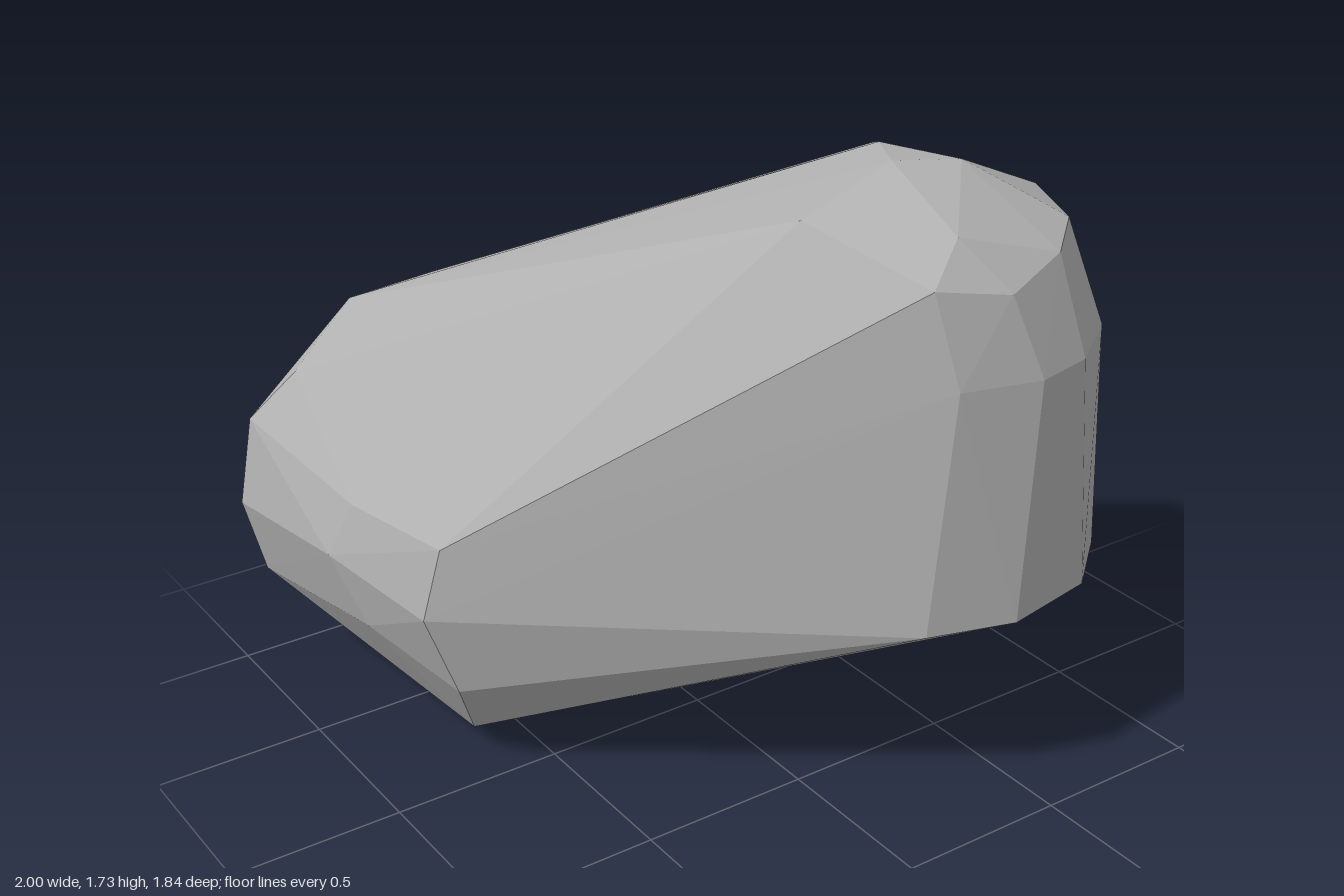
import * as THREE from 'three';
import { ConvexGeometry } from 'three/addons/geometries/ConvexGeometry.js';

// Expand [a, b] pairs into points on a level or upright plane
const level = (y, pairs) => pairs.map(([x, z]) => new THREE.Vector3(x, y, z));
const upright = (z, pairs) => pairs.map(([x, y]) => new THREE.Vector3(x, y, z));
const loose = (list) => list.map((p) => new THREE.Vector3(...p));

export function createModel() {
  const grey = new THREE.MeshStandardMaterial({ color: 0xb0b0b0, flatShading: true });
  grey.name = 'grey';

  // Flat round end at the back
  const backEnd = upright(-0.92, [
    [-0.33, 1.15], [-0.06, 1.03], [0.115, 0.77], [0.14, 0.49], [0.05, 0.26], [-0.16, 0.08],
    [-0.43, 0], [-0.76, 0.11], [-0.94, 0.33], [-1, 0.57], [-0.95, 0.83], [-0.605, 1.13],
  ]);

  // Blunt shoulder beside the back end
  const shoulder = loose([
    [-0.83, 0.98, -0.84], [-0.83, 0.77, 0], [-0.88, 0.56, -0.02], [-0.79, 0.31, -0.01],
    [-0.61, 0.16, -0.04], [-0.68, 0.085, -0.14], [-0.28, 0.035, -0.45], [-0.44, 0.01, -0.7],
    [-0.97, 0.62, -0.4], [-0.91, 0.78, -0.35], [-0.91, 0.42, -0.3],
  ]);

  // Upright sleeve at the front
  const sleeveFoot = level(0.58, [
    [0.15, 0.84], [0.4, 0.915], [0.69, 0.86], [0.88, 0.7], [1, 0.45], [0.99, 0.23], [0.91, 0.035],
  ]);
  const sleeveTop = level(1.27, [
    [0.22, 0.84], [0.45, 0.9], [0.63, 0.86], [0.83, 0.715], [0.97, 0.42], [0.96, 0.23], [0.89, 0.08],
  ]);

  // Domed top of the sleeve
  const dome = loose([
    [0.18, 1.53, 0.77], [0.38, 1.5, 0.84], [0.59, 1.55, 0.78], [0.75, 1.57, 0.64],
    [0.86, 1.57, 0.39], [0.81, 1.54, 0.07], [0.6, 1.63, 0], [0.3, 1.63, 0.71],
    [0.05, 1.63, 0.39], [0.36, 1.725, 0.37], [0.55, 1.71, 0.43], [0.48, 1.7, 0.17],
  ]);

  const body = new THREE.Mesh(
    new ConvexGeometry([...backEnd, ...shoulder, ...sleeveFoot, ...sleeveTop, ...dome]),
    grey,
  );
  body.name = 'facetedBody';

  const model = new THREE.Group();
  model.name = 'facetedElbow';
  model.add(body);
  return model;
}
